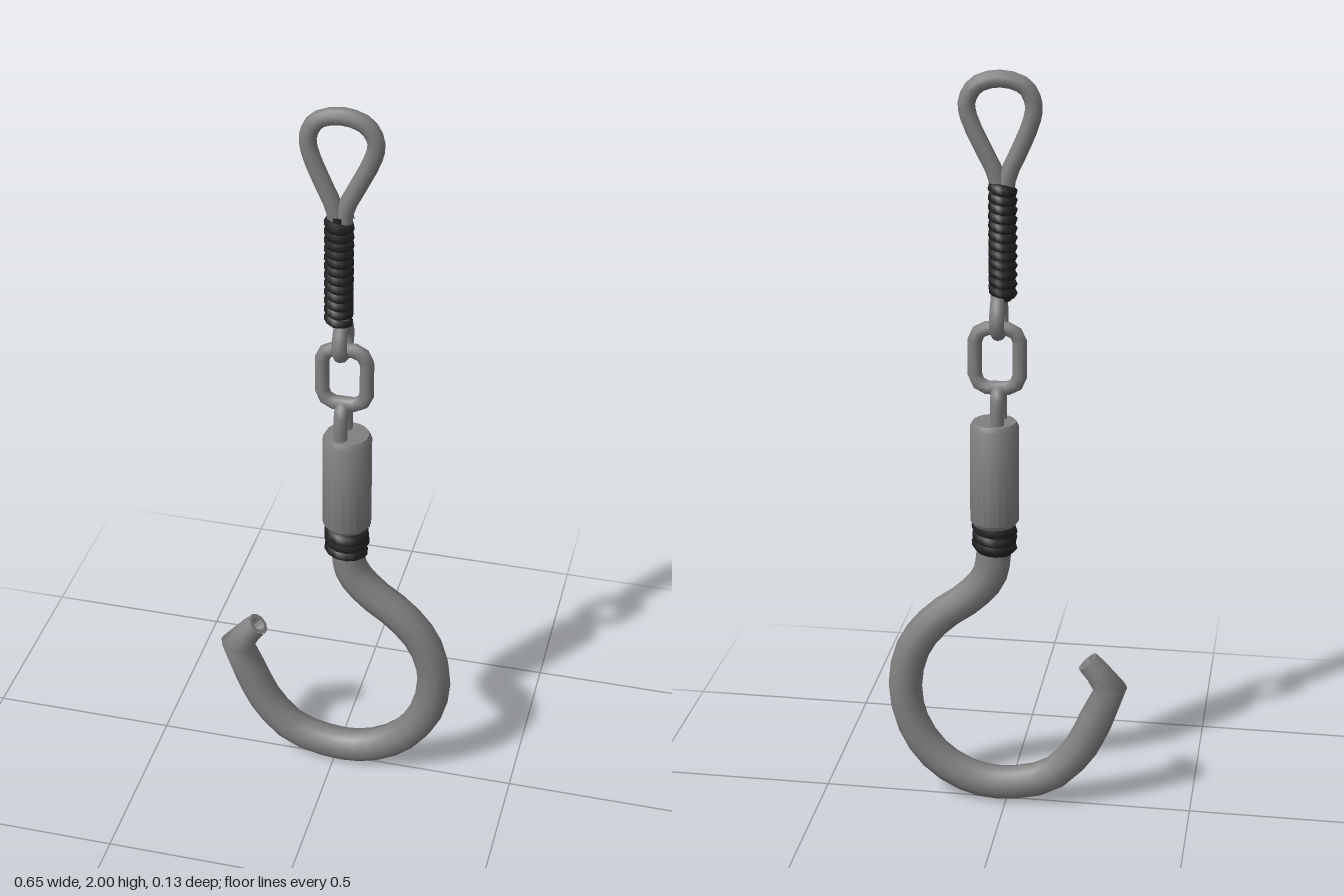
import * as THREE from 'three';
import { toCreasedNormals } from 'three/addons/utils/BufferGeometryUtils.js';

const V = (x, y) => new THREE.Vector3(x, y, 0);

// Round bar swept along a path in the xy plane; radius may be a number or a function of the ring index.
function sweep(path, radius, closed = false, sides = 10) {
  const n = path.length, pos = [], index = [];
  for (let i = 0; i < n; i++) {
    const prev = path[closed ? (i + n - 1) % n : Math.max(i - 1, 0)];
    const next = path[closed ? (i + 1) % n : Math.min(i + 1, n - 1)];
    const before = path[i].clone().sub(prev).normalize();
    const after = next.clone().sub(path[i]).normalize();
    const t = before.add(after).normalize();
    const r = typeof radius === 'function' ? radius(i) : radius;
    for (let j = 0; j < sides; j++) {
      const a = (j / sides) * Math.PI * 2, c = Math.cos(a) * r;
      pos.push(path[i].x - t.y * c, path[i].y + t.x * c, Math.sin(a) * r);
    }
  }
  for (let i = 0; i < (closed ? n : n - 1); i++) {
    for (let j = 0; j < sides; j++) {
      const k = (j + 1) % sides, m = ((i + 1) % n) * sides;
      const a = i * sides + j, b = i * sides + k;
      index.push(a, b, m + j, b, m + k, m + j);
    }
  }
  const g = new THREE.BufferGeometry();
  g.setAttribute('position', new THREE.Float32BufferAttribute(pos, 3));
  g.setIndex(index);
  g.computeVertexNormals();
  return g;
}

const smooth = (pts, count) =>
  new THREE.CatmullRomCurve3(pts.map(p => V(...p)), false, 'centripetal').getPoints(count);

const lathe = (pts, sides) =>
  new THREE.LatheGeometry(pts.map(p => new THREE.Vector2(...p)), sides);

export function createModel() {
  const model = new THREE.Group();
  const steel = new THREE.MeshStandardMaterial({ color: 0x808080 });
  steel.name = 'grey steel';
  const cord = new THREE.MeshStandardMaterial({ color: 0x222222 });
  cord.name = 'black cord';

  function add(name, geometry, material, x = 0, y = 0, parent = model) {
    const m = new THREE.Mesh(geometry, material);
    m.name = name;
    m.position.set(x, y, 0);
    parent.add(m);
    return m;
  }

  // Hook: curved bar, sharply bent into a narrower tip
  const bar = smooth([
    [0.033, 0.8], [0.035, 0.72], [0.047, 0.66], [0.095, 0.6], [0.185, 0.53],
    [0.25, 0.445], [0.277, 0.33], [0.255, 0.21], [0.19, 0.115], [0.095, 0.06],
    [0, 0.05], [-0.12, 0.083], [-0.2, 0.17], [-0.242, 0.26],
  ], 28);
  const bend = bar.length;
  bar.push(V(-0.279, 0.354), V(-0.242, 0.402), V(-0.217, 0.429));
  add('hook', sweep(bar, i => (i <= bend ? 0.046 : i === bend + 1 ? 0.035 : 0.032)), steel);

  // Hollowed end of the tip
  const cup = add('hookTipCup', toCreasedNormals(
    lathe([[0.032, 0], [0.02, 0], [0.013, -0.025], [0, -0.025]], 10), 0.5), steel, -0.217, 0.429);
  cup.rotation.z = -Math.atan2(0.025, 0.027);

  // Coiled cord: a core with a helical strand around it
  function wrap(name, x, bottom, top, r, strand, turns, depth) {
    const g = new THREE.Group();
    g.name = name;
    g.position.x = x;
    g.scale.z = depth;
    const h = top - bottom, pts = [];
    for (let i = 0; i <= turns * 12; i++) {
      const a = (i / 12) * Math.PI * 2;
      const y = bottom + strand + (h - 2 * strand) * (i / (turns * 12));
      pts.push(new THREE.Vector3(Math.cos(a) * (r - strand), y, Math.sin(a) * (r - strand)));
    }
    add(name + 'Strand', new THREE.TubeGeometry(
      new THREE.CatmullRomCurve3(pts), turns * 14, strand, 6), cord, 0, 0, g);
    add(name + 'Core', new THREE.CylinderGeometry(r - strand, r - strand, h - strand, 16),
      cord, 0, (top + bottom) / 2, g);
    model.add(g);
  }
  wrap('lowerWrap', 0.032, 0.715, 0.825, 0.061, 0.021, 3, 1.03);
  wrap('upperWrap', 0.01, 1.41, 1.725, 0.038, 0.016, 12, 1.12);

  // Swivel barrel with softened rims
  add('barrel', toCreasedNormals(lathe([
    [0, 0.81], [0.056, 0.81], [0.064, 0.822], [0.064, 1.078], [0.056, 1.093], [0, 1.093],
  ], 20), 0.6), steel, 0.032);

  // Swivel eye standing in the yz plane
  const eye = add('swivelEye', sweep(smooth([
    [-0.028, 1.07], [-0.028, 1.14], [-0.02, 1.17], [0, 1.178],
    [0.02, 1.17], [0.028, 1.14], [0.028, 1.07],
  ].reverse(), 16), 0.018), steel, 0.021);
  eye.rotation.y = Math.PI / 2;

  // Chain link with clipped corners
  const link = [
    [0.058, -0.045], [0.058, 0.045], [0.048, 0.068], [0.026, 0.079],
    [-0.026, 0.079], [-0.048, 0.068], [-0.058, 0.045],
    [-0.058, -0.045], [-0.048, -0.068], [-0.026, -0.079],
    [0.026, -0.079], [0.048, -0.068],
  ].map(p => V(...p));
  add('chainLink', sweep(link, 0.019, true), steel, 0.024, 1.263);

  // Lower cord loop, running out of the wrap in the yz plane
  const lower = add('lowerLoop', sweep(smooth([
    [-0.01, 1.45], [-0.014, 1.425], [-0.038, 1.38], [-0.034, 1.346], [0, 1.33],
    [0.034, 1.346], [0.038, 1.38], [0.014, 1.425], [0.01, 1.45],
  ], 20), 0.019), steel, 0.02);
  lower.rotation.y = Math.PI / 2;

  // Top hanging loop, teardrop in the xy plane
  add('topLoop', sweep(smooth([
    [0.004, 1.68], [-0.003, 1.735], [-0.036, 1.81], [-0.063, 1.88], [-0.066, 1.92],
    [-0.044, 1.96], [0.016, 1.977], [0.075, 1.96], [0.099, 1.92],
    [0.094, 1.88], [0.062, 1.81], [0.026, 1.735], [0.02, 1.68],
  ], 28), 0.022), steel);

  return model;
}
